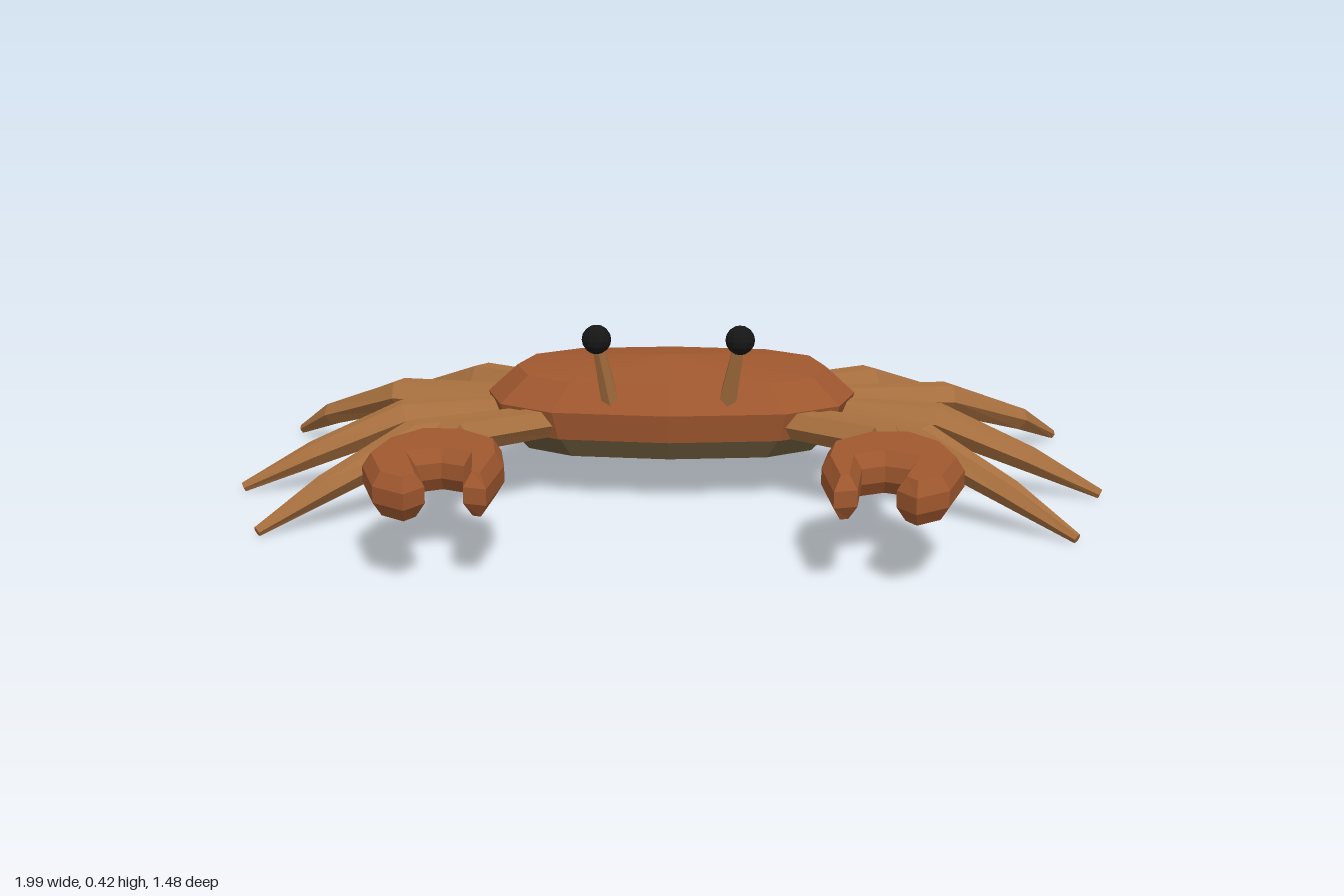
import * as THREE from 'three';

const mat = (color) => new THREE.MeshStandardMaterial({ color, flatShading: true });

// Skin a closed surface over rings that run counterclockwise about the travel direction
function skin(rings) {
  const n = rings[0].length, pos = [], idx = [];
  rings.forEach((r) => r.forEach((p) => pos.push(p.x, p.y, p.z)));
  for (let i = 0; i < rings.length - 1; i++) {
    for (let j = 0; j < n; j++) {
      const a = i * n + j, b = i * n + (j + 1) % n;
      idx.push(a, b, b + n, a, b + n, a + n);
    }
  }
  const last = (rings.length - 1) * n;
  for (let j = 1; j < n - 1; j++) {
    idx.push(0, j + 1, j);
    idx.push(last, last + j, last + j + 1);
  }
  const g = new THREE.BufferGeometry();
  g.setAttribute('position', new THREE.Float32BufferAttribute(pos, 3));
  g.setIndex(idx);
  g.computeVertexNormals();
  return g;
}

// Six-sided limb through points [x, y, z, half width, half height]
function limb(path) {
  const pts = path.map((p) => new THREE.Vector3(p[0], p[1], p[2]));
  const up = new THREE.Vector3(0, 1, 0);
  return skin(pts.map((p, i) => {
    const before = p.clone().sub(pts[Math.max(i - 1, 0)]).normalize();
    const after = pts[Math.min(i + 1, pts.length - 1)].clone().sub(p).normalize();
    const t = before.add(after).normalize();
    const u = t.clone().cross(up).normalize();
    const v = t.clone().cross(u);
    return Array.from({ length: 6 }, (_, k) => {
      const a = k * Math.PI / 3;
      return p.clone().addScaledVector(u, Math.cos(a) * path[i][3])
        .addScaledVector(v, Math.sin(a) * path[i][4] / 0.866);
    });
  }));
}

// Rounded twelve-sided body outline at height y
function bodyRing(y, s) {
  const pow = (c, e) => Math.sign(c) * Math.pow(Math.abs(c), e);
  return Array.from({ length: 12 }, (_, k) => {
    const a = k * Math.PI / 6;
    return new THREE.Vector3(0.43 * s * pow(Math.sin(a), 0.7), y,
      -0.13 + 0.242 * s * pow(Math.cos(a), 0.85));
  });
}

// Root, knee, shin and tip of each left leg: x, y, z
const LEGS = [
  [[0.28, 0.18, 0.0], [0.57, 0.165, 0.12], [0.75, 0.085, 0.255], [0.885, 0.013, 0.355]],
  [[0.34, 0.18, -0.1], [0.62, 0.165, -0.07], [0.83, 0.085, -0.025], [0.99, 0.013, 0.01]],
  [[0.33, 0.18, -0.2], [0.66, 0.165, -0.285], [0.85, 0.085, -0.41], [0.955, 0.013, -0.53]],
  [[0.24, 0.18, -0.28], [0.48, 0.165, -0.46], [0.67, 0.085, -0.615], [0.78, 0.013, -0.735]],
];
const LEG_SIZE = [[0.036, 0.03], [0.048, 0.036], [0.033, 0.026], [0.01, 0.01]];

// Left claw outline in plan: x, z
const CLAW = [
  [0.435, 0.31], [0.53, 0.31], [0.595, 0.4], [0.62, 0.53], [0.575, 0.68], [0.505, 0.735],
  [0.47, 0.68], [0.51, 0.525], [0.46, 0.5], [0.41, 0.525], [0.393, 0.68], [0.345, 0.695],
  [0.327, 0.52], [0.345, 0.4],
];

export function createModel() {
  const model = new THREE.Group();
  const shellMat = mat(0xa0582f), legMat = mat(0xa8703f);
  const bellyMat = mat(0x6b5a3c), eyeMat = mat(0x161616);
  const add = (name, geometry, material) => {
    const m = new THREE.Mesh(geometry, material);
    m.name = name;
    model.add(m);
    return m;
  };

  // Body
  add('shell', skin([bodyRing(0.15, 0.95), bodyRing(0.215, 1), bodyRing(0.278, 0.84),
    bodyRing(0.305, 0.01)]), shellMat);
  add('belly', skin([bodyRing(0.105, 0.84), bodyRing(0.155, 0.945)]), bellyMat);

  for (const [side, s] of [['left', 1], ['right', -1]]) {
    // Walking legs
    LEGS.forEach((leg, i) => add(`${side}Leg${i + 1}`,
      limb(leg.map(([x, y, z], k) => [s * x, y, z, ...LEG_SIZE[k]])), legMat));

    // Claw arm
    add(`${side}Arm`, limb([
      [s * 0.24, 0.18, 0.0, 0.042, 0.03],
      [s * 0.48, 0.185, 0.195, 0.05, 0.034],
      [s * 0.482, 0.19, 0.34, 0.046, 0.032],
    ]), legMat);

    // Claw: bevelled plan shape laid flat
    const shape = new THREE.Shape(CLAW.map(([x, z]) => new THREE.Vector2(s * x, z)));
    const claw = new THREE.ExtrudeGeometry(shape, {
      depth: 0.034, bevelEnabled: true, bevelSegments: 1,
      bevelThickness: 0.029, bevelSize: 0.018, bevelOffset: -0.018,
    });
    claw.rotateX(Math.PI / 2).translate(0, 0.212, 0);
    add(`${side}Claw`, claw, shellMat);

    // Eye on a leaning stalk
    const foot = new THREE.Vector3(s * 0.13, 0.225, 0.062);
    const top = new THREE.Vector3(s * 0.16, 0.391, 0.11);
    const dir = top.clone().sub(foot);
    const stalk = add(`${side}EyeStalk`,
      new THREE.CylinderGeometry(0.013, 0.023, dir.length(), 6), legMat);
    stalk.position.copy(foot).add(top).multiplyScalar(0.5);
    stalk.quaternion.setFromUnitVectors(new THREE.Vector3(0, 1, 0), dir.normalize());
    add(`${side}Eye`, new THREE.SphereGeometry(0.033, 12, 8), eyeMat).position.copy(top);
  }
  return model;
}
